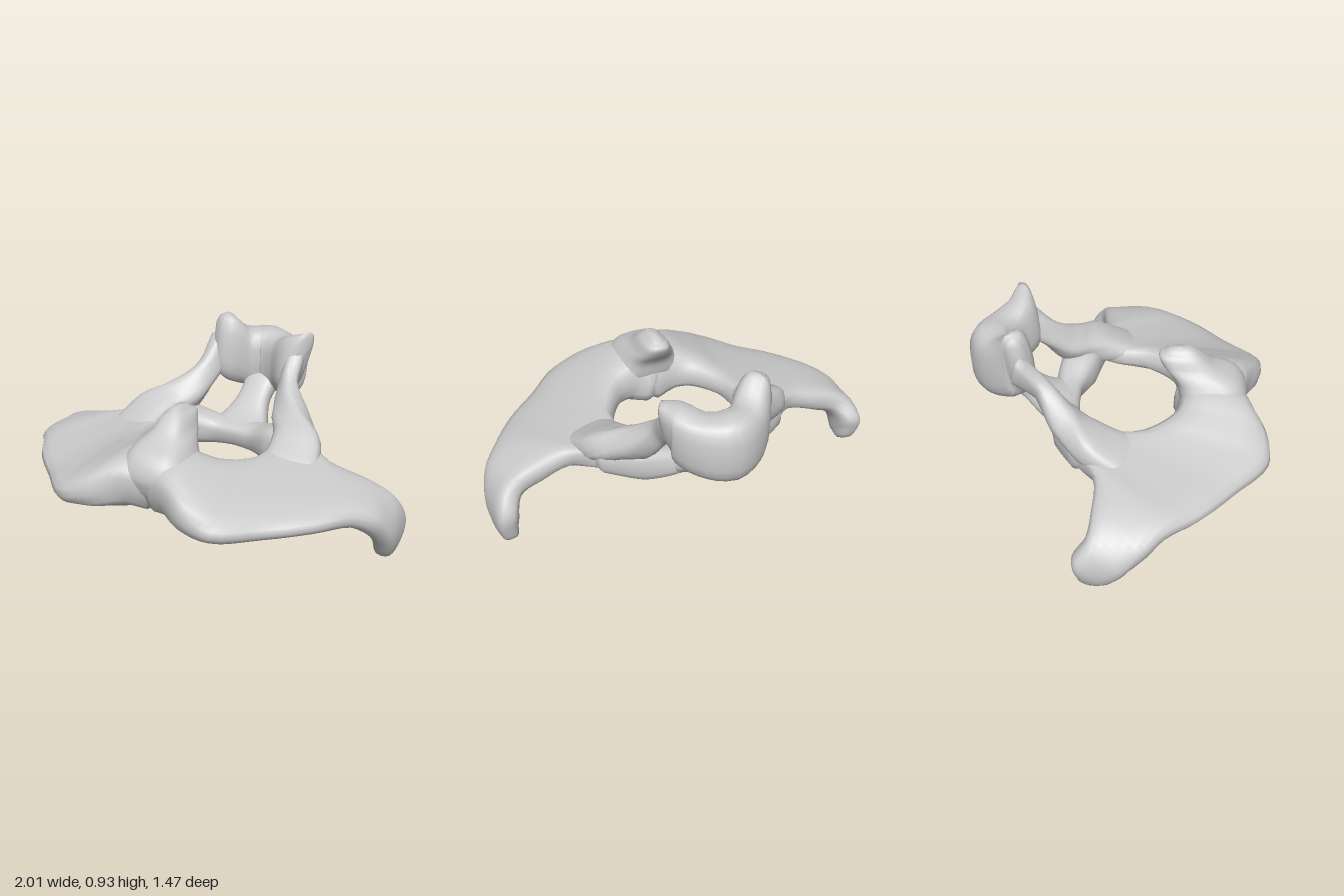
import * as THREE from 'three';

const material = new THREE.MeshStandardMaterial({ color: 0xcccccc, side: THREE.DoubleSide });
const RING = 20, STEPS = 4;

// Closed loft. Each section is [edgeA, edgeB, halfThickness]; the ring is a
// rounded oval running from edge A to edge B.
function loft(name, sections, side = 1) {
  const vec = (p) => new THREE.Vector3(p[0] * side, p[1], p[2]);
  const curveA = new THREE.CatmullRomCurve3(sections.map((s) => vec(s[0])));
  const curveB = new THREE.CatmullRomCurve3(sections.map((s) => vec(s[1])));
  const last = sections.length - 1, count = last * STEPS;
  const mid = (u) => curveA.getPoint(u).add(curveB.getPoint(u)).multiplyScalar(0.5);
  const positions = [], index = [];

  function addRing(u, scale, push) {
    const a = curveA.getPoint(u), b = curveB.getPoint(u), c = mid(u);
    const tangent = mid(Math.min(1, u + 0.02)).sub(mid(Math.max(0, u - 0.02))).normalize();
    const half = b.sub(a).multiplyScalar(0.5);
    const normal = tangent.clone().cross(half).normalize();
    const k = Math.min(last - 1, Math.floor(u * last));
    const t = THREE.MathUtils.lerp(sections[k][2], sections[k + 1][2], u * last - k);
    c.addScaledVector(tangent, push * t);
    for (let j = 0; j < RING; j++) {
      const angle = (j / RING) * Math.PI * 2;
      const cos = Math.cos(angle), sin = Math.sin(angle);
      const p = c.clone()
        .addScaledVector(half, scale * Math.sign(cos) * Math.abs(cos) ** 0.75)
        .addScaledVector(normal, scale * t * Math.sign(sin) * Math.abs(sin) ** 0.7);
      positions.push(p.x, p.y, p.z);
    }
  }

  // Rounded start, body, rounded end
  addRing(0, 0.001, -0.5);
  addRing(0, 0.7, -0.35);
  for (let i = 0; i <= count; i++) addRing(i / count, 1, 0);
  addRing(1, 0.7, 0.35);
  addRing(1, 0.001, 0.5);

  const rings = positions.length / 3 / RING;
  for (let i = 0; i < rings - 1; i++) {
    for (let j = 0; j < RING; j++) {
      const a = i * RING + j, b = i * RING + ((j + 1) % RING);
      index.push(a, b, a + RING, b, b + RING, a + RING);
    }
  }
  const geometry = new THREE.BufferGeometry();
  geometry.setAttribute('position', new THREE.Float32BufferAttribute(positions, 3));
  geometry.setIndex(index);
  geometry.computeVertexNormals();
  const mesh = new THREE.Mesh(geometry, material);
  mesh.name = name;
  return mesh;
}

// Broad plate, thick at the midline, sweeping out to a drooping tip; lift raises the tip
const wing = (lift) => [
  [[0, 0.42, 0.27], [0, 0.38, 0.6], 0.13],
  [[0.1, 0.44, 0.29], [0.12, 0.41, 0.65], 0.14],
  [[0.2, 0.44, 0.25], [0.26, 0.37, 0.72], 0.105],
  [[0.3, 0.43, 0.1], [0.41, 0.335, 0.72], 0.075],
  [[0.32, 0.43, -0.08], [0.59, 0.32, 0.56], 0.065],
  [[0.42, 0.42, -0.24], [0.76, 0.32, 0.4], 0.06],
  [[0.58, 0.39, -0.11], [0.88, 0.31, 0.23], 0.065],
  [[0.76, 0.345, -0.11], [0.95, 0.25, 0.14], 0.075],
  [[0.89, 0.31, -0.13], [0.96, 0.13 + lift / 2, 0.05], 0.07],
  [[0.945, 0.2 + lift / 2, -0.19], [0.93, 0.03 + lift, -0.02], 0.06],
  [[0.935, 0.07 + lift, -0.17], [0.92, 0.01 + lift, -0.08], 0.04],
];

// Strut climbing from the wing root to the rear saddle
const upperArm = [
  [[0.24, 0.82, -0.46], [0.2, 0.66, -0.5], 0.05],
  [[0.27, 0.69, -0.35], [0.2, 0.58, -0.38], 0.045],
  [[0.4, 0.57, -0.26], [0.23, 0.48, -0.26], 0.08],
  [[0.53, 0.47, -0.16], [0.29, 0.46, -0.11], 0.08],
  [[0.59, 0.39, 0.02], [0.33, 0.42, 0.1], 0.04],
];

// Saddle from the right horn, over the midline, to the left horn
const saddle = [
  [[-0.23, 0.91, -0.49], [-0.22, 0.64, -0.44], 0.05],
  [[-0.18, 0.93, -0.5], [-0.18, 0.57, -0.46], 0.085],
  [[-0.1, 0.84, -0.57], [-0.11, 0.52, -0.57], 0.1],
  [[0, 0.84, -0.62], [0, 0.5, -0.62], 0.115],
  [[0.12, 0.83, -0.57], [0.12, 0.52, -0.57], 0.1],
  [[0.21, 0.87, -0.51], [0.2, 0.57, -0.46], 0.085],
  [[0.29, 0.9, -0.5], [0.23, 0.64, -0.44], 0.05],
];

// Deep wall closing the central opening at the back, thickest at the wing roots
const backBar = [
  [[-0.46, 0.48, -0.14], [-0.44, 0.33, -0.15], 0.08],
  [[-0.27, 0.49, -0.22], [-0.26, 0.29, -0.22], 0.1],
  [[-0.12, 0.44, -0.25], [-0.12, 0.3, -0.28], 0.07],
  [[0, 0.43, -0.25], [0, 0.31, -0.28], 0.06],
  [[0.12, 0.44, -0.25], [0.12, 0.3, -0.28], 0.07],
  [[0.27, 0.49, -0.22], [0.26, 0.29, -0.22], 0.1],
  [[0.46, 0.48, -0.14], [0.44, 0.33, -0.15], 0.08],
];

// Flat stem rising from the back wall to the saddle
const stem = [
  [[-0.2, 0.36, -0.26], [0.2, 0.36, -0.26], 0.07],
  [[-0.13, 0.41, -0.36], [0.13, 0.41, -0.36], 0.06],
  [[-0.085, 0.5, -0.46], [0.085, 0.5, -0.46], 0.05],
  [[-0.1, 0.6, -0.58], [0.1, 0.6, -0.58], 0.06],
];

// Front hump with its tip leaning back over the opening
const spine = [
  [[0, 0.4, 0.32], [0, 0.4, 0.61], 0.22],
  [[0, 0.48, 0.29], [0, 0.48, 0.63], 0.19],
  [[0, 0.56, 0.27], [0, 0.57, 0.59], 0.14],
  [[0, 0.64, 0.21], [0, 0.63, 0.47], 0.09],
  [[0, 0.69, 0.19], [0, 0.69, 0.4], 0.065],
  [[0, 0.71, 0.22], [0, 0.72, 0.36], 0.035],
];

export function createModel() {
  const group = new THREE.Group();
  for (const [side, label, lift] of [[1, 'left', 0], [-1, 'right', 0.06]]) {
    group.add(loft(label + 'Wing', wing(lift), side));
    group.add(loft(label + 'UpperArm', upperArm, side));
  }
  group.add(loft('rearSaddle', saddle));
  group.add(loft('backWall', backBar));
  group.add(loft('stem', stem));
  group.add(loft('frontSpine', spine));
  return group;
}
